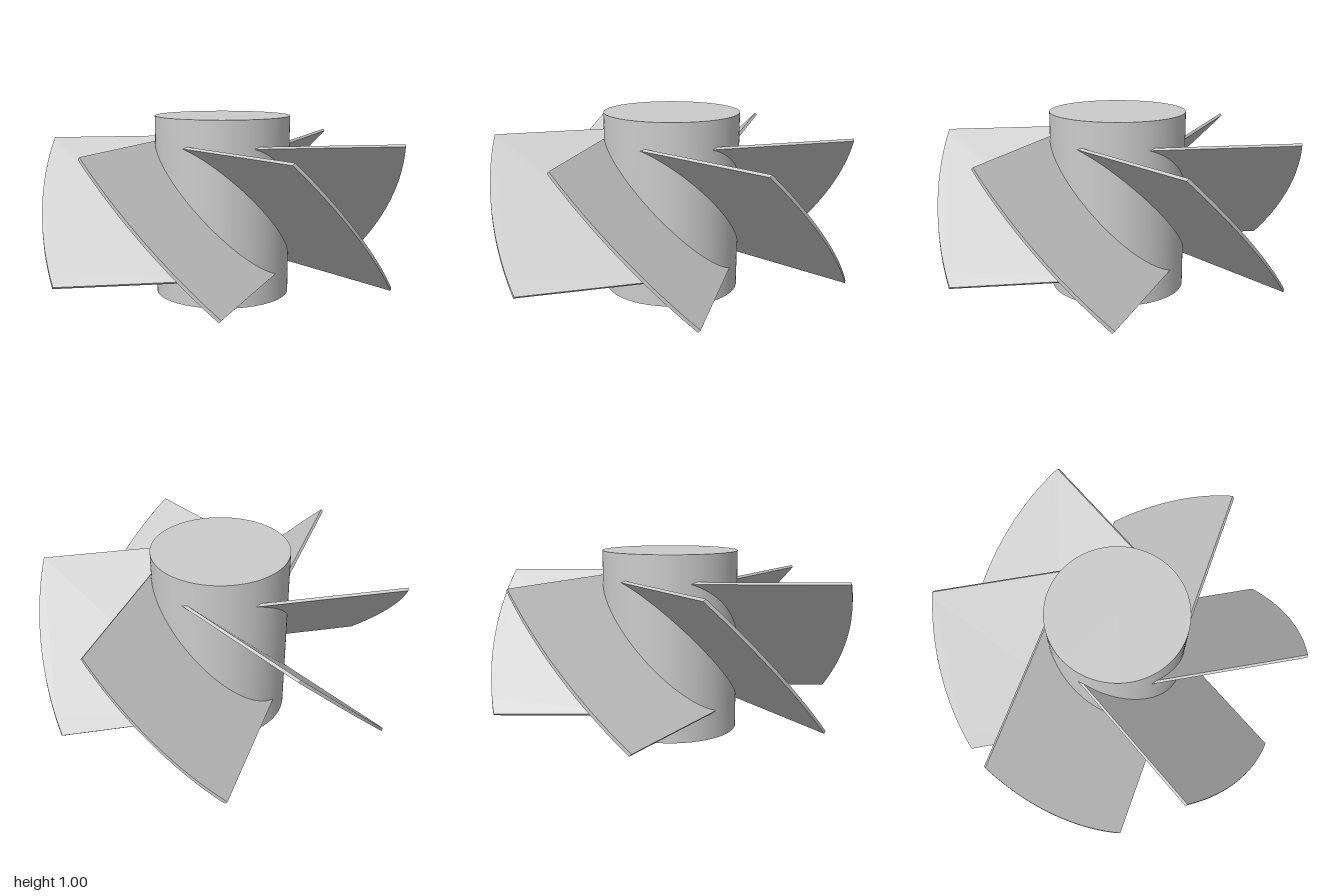
import * as THREE from 'three';
import { toCreasedNormals } from 'three/addons/utils/BufferGeometryUtils.js';

const HUB_RADIUS = 0.375, HUB_HEIGHT = 1, TIP_RADIUS = 1;
const BLADES = 6, CHORD = 0.995, THICKNESS = 0.016, PITCH = Math.PI / 4;

// Flat pitched plate, rooted inside the hub, its tip trimmed to a cylinder
function bladeGeometry() {
  const half = CHORD / 2, root = 0.1, steps = 32;
  const tipX = (z) => Math.sqrt(TIP_RADIUS ** 2 - z * z);
  const shape = new THREE.Shape().moveTo(root, -half);
  for (let i = 0; i <= steps; i++) {
    const v = -half + (CHORD * i) / steps;
    shape.lineTo(tipX(v * Math.sin(PITCH)), v);
  }
  shape.lineTo(root, half);
  shape.closePath();

  const geo = new THREE.ExtrudeGeometry(shape, { depth: THICKNESS, bevelEnabled: false });
  geo.translate(0, 0, -THICKNESS / 2);
  geo.rotateX(PITCH);
  // Settle both faces' tip edges exactly on the trimming cylinder
  const pos = geo.attributes.position;
  for (let i = 0; i < pos.count; i++) {
    if (pos.getX(i) > 0.5) pos.setX(i, tipX(pos.getZ(i)));
  }
  return toCreasedNormals(geo, Math.PI / 6);
}

export function createModel() {
  const model = new THREE.Group();
  model.name = 'impeller';
  const material = new THREE.MeshStandardMaterial({ color: 0xcccccc });

  // Solid hub
  const hub = new THREE.Mesh(
    new THREE.CylinderGeometry(HUB_RADIUS, HUB_RADIUS, HUB_HEIGHT, 96), material);
  hub.name = 'hub';
  hub.position.y = HUB_HEIGHT / 2;
  model.add(hub);

  // Ring of pitched blades
  const blades = new THREE.Group();
  blades.name = 'blades';
  const geometry = bladeGeometry();
  for (let i = 0; i < BLADES; i++) {
    const blade = new THREE.Mesh(geometry, material);
    blade.name = `blade${i + 1}`;
    blade.position.y = HUB_HEIGHT / 2;
    blade.rotation.y = (i * 2 * Math.PI) / BLADES;
    blades.add(blade);
  }
  model.add(blades);
  return model;
}
